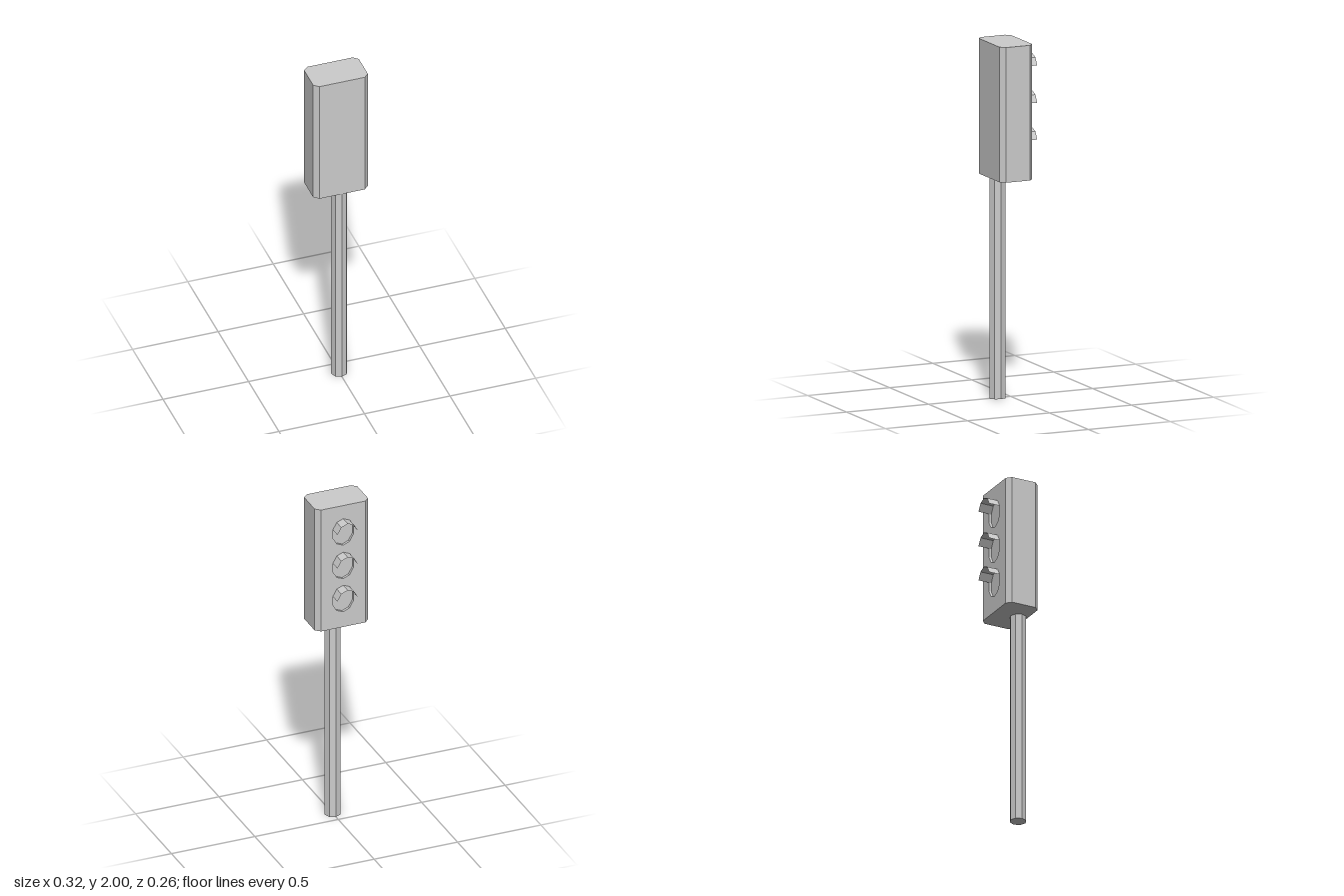
import * as THREE from 'three';

const BASE = 1.24, TOP = 2, BACK = -0.068, FRONT = 0.131;
const HALF_W = 0.16, CUT_X = 0.027, CUT_Z = 0.026;
const RX = 0.065, RY = 0.083, RECESS = 0.015, HOOD = 0.065, SIDES = 10;
const LAMPS = [1.835, 1.625, 1.418];

const grey = new THREE.MeshStandardMaterial({ color: 0xcccccc, flatShading: true });
const thin = new THREE.MeshStandardMaterial({ color: 0xcccccc, flatShading: true, side: THREE.DoubleSide });

function part(name, geometry, material = grey) {
  const mesh = new THREE.Mesh(geometry, material);
  mesh.name = name;
  return mesh;
}

// Chamfered upright casing, left open at the back for the lamp panel
function casingGeometry() {
  const mid = (FRONT + BACK) / 2, d = (FRONT - BACK) / 2;
  const x = HALF_W - CUT_X, z = d - CUT_Z;
  const outline = [[x, -d], [HALF_W, -z], [HALF_W, z], [x, d], [-x, d], [-HALF_W, z], [-HALF_W, -z], [-x, -d]];
  const shape = new THREE.Shape(outline.map(([a, b]) => new THREE.Vector2(a, b)));
  const solid = new THREE.ExtrudeGeometry(shape, { depth: TOP - BASE, bevelEnabled: false });
  solid.rotateX(-Math.PI / 2).translate(0, BASE, mid);
  const p = solid.attributes.position, kept = [];
  for (let i = 0; i < p.count; i += 3) {
    const corners = [i, i + 1, i + 2];
    if (corners.every((k) => Math.abs(p.getZ(k) - BACK) < 1e-4)) continue;
    corners.forEach((k) => kept.push(p.getX(k), p.getY(k), p.getZ(k)));
  }
  const g = new THREE.BufferGeometry();
  g.setAttribute('position', new THREE.Float32BufferAttribute(kept, 3));
  g.computeVertexNormals();
  return g;
}

// Back panel with three oval openings
function panelGeometry() {
  const x = HALF_W - CUT_X;
  const shape = new THREE.Shape([[-x, BASE], [x, BASE], [x, TOP], [-x, TOP]].map(([a, b]) => new THREE.Vector2(a, b)));
  for (const y of LAMPS) {
    const points = [];
    for (let i = 0; i < SIDES; i++) {
      const t = -i * 2 * Math.PI / SIDES;
      points.push(new THREE.Vector2(RX * Math.sin(t), y + RY * Math.cos(t)));
    }
    shape.holes.push(new THREE.Path(points));
  }
  return new THREE.ShapeGeometry(shape).rotateY(Math.PI).translate(0, 0, BACK);
}

// Open oval tube along z, from z0 to z0 + length, over an arc centred on the top
function ovalTube(z0, length, sides) {
  const arc = sides * 2 * Math.PI / SIDES;
  return new THREE.CylinderGeometry(1, 1, length, sides, 1, true, -arc / 2, arc)
    .scale(RX, 1, RY).rotateX(-Math.PI / 2).translate(0, 0, z0 + length / 2);
}

export function createModel() {
  const model = new THREE.Group();
  model.name = 'trafficLight';

  // Octagonal pole
  const pole = part('pole', new THREE.CylinderGeometry(0.047, 0.047, BASE, 8));
  pole.position.set(0, BASE / 2, 0.081);
  model.add(pole);

  model.add(part('casing', casingGeometry()), part('lampPanel', panelGeometry()));

  // Recessed lamps, each under a four-sided hood
  LAMPS.forEach((y, i) => {
    const lamp = new THREE.Group();
    lamp.name = `lamp${i + 1}`;
    lamp.position.y = y;
    const lens = new THREE.CircleGeometry(1, SIDES, Math.PI / 2)
      .scale(RX, RY, 1).rotateY(Math.PI).translate(0, 0, BACK + RECESS);
    lamp.add(
      part('lens', lens),
      part('recessWall', ovalTube(BACK, RECESS, SIDES), thin),
      part('hood', ovalTube(BACK - HOOD, HOOD, 4), thin),
    );
    model.add(lamp);
  });
  return model;
}
